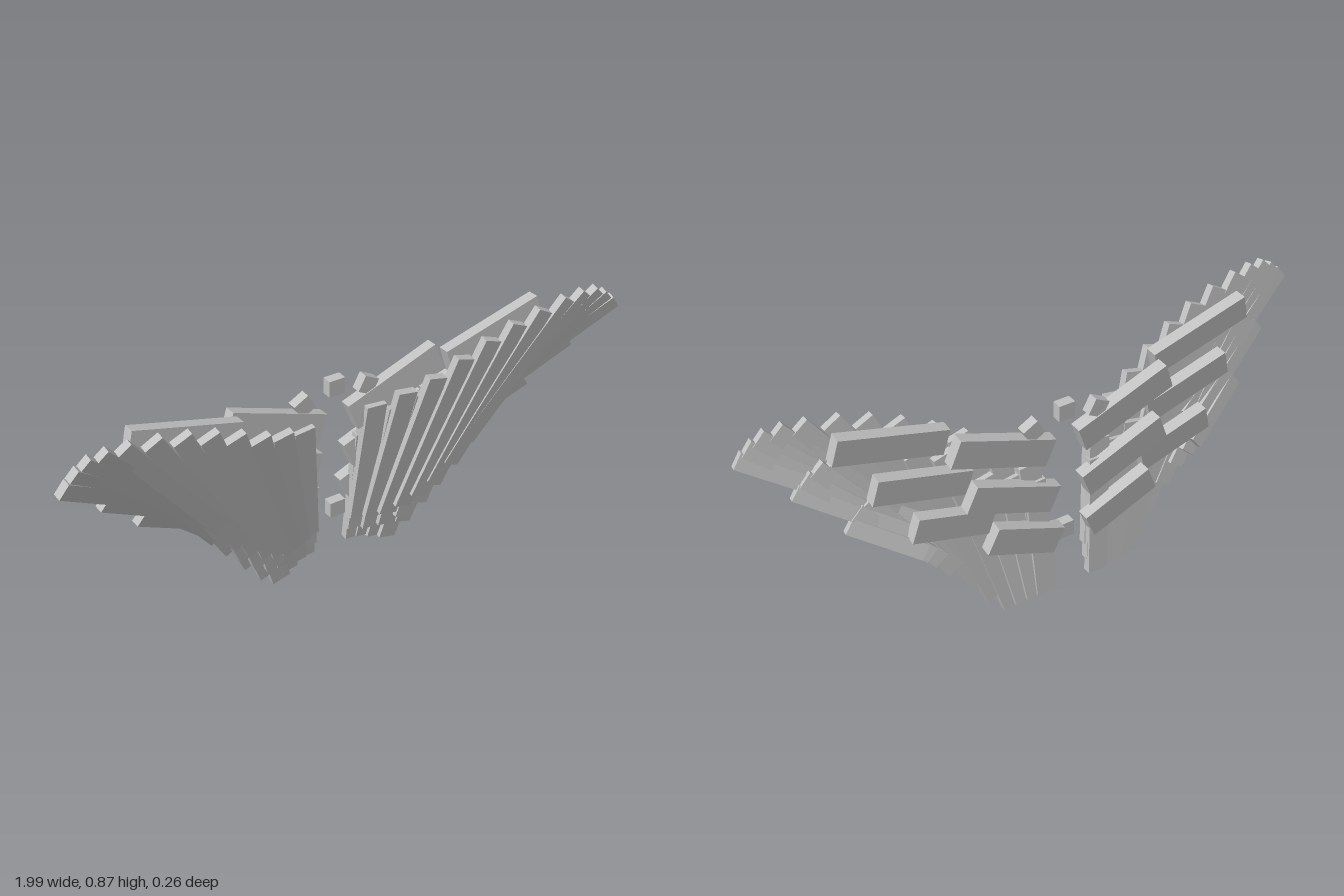
import * as THREE from 'three';

const V = (x, y, z) => new THREE.Vector3(x, y, z);
const curve = pts => new THREE.CatmullRomCurve3(pts.map(p => V(...p)));

// Feather rows, front to back: curves of upper tips and lower ends, inner to outer
const ROWS = [
  {
    name: 'frontFeather', count: 12,
    tips: [[0.135, 0.6, -0.035], [0.31, 0.665, 0.025], [0.48, 0.755, 0.06], [0.65, 0.82, 0.085],
      [0.82, 0.85, 0.1], [0.92, 0.845, 0.108], [0.98, 0.795, 0.112]],
    ends: [[0.1, 0.145, -0.08], [0.18, 0.145, -0.045], [0.27, 0.19, -0.01], [0.37, 0.27, 0.012],
      [0.47, 0.405, 0.028], [0.5, 0.44, 0.005], [0.5, 0.465, -0.03]],
  },
  {
    name: 'middleFeather', count: 11,
    tips: [[0.13, 0.54, -0.06], [0.27, 0.59, -0.01], [0.42, 0.65, 0.015], [0.57, 0.7, 0.035],
      [0.71, 0.725, 0.046], [0.79, 0.715, 0.05], [0.845, 0.662, 0.053]],
    ends: [[0.1, 0.09, -0.095], [0.18, 0.08, -0.07], [0.27, 0.12, -0.035], [0.36, 0.21, -0.02],
      [0.45, 0.32, -0.02], [0.5, 0.39, -0.035], [0.51, 0.425, -0.055]],
  },
  {
    name: 'backFeather', count: 10,
    tips: [[0.12, 0.48, -0.075], [0.24, 0.52, -0.04], [0.36, 0.55, -0.025], [0.49, 0.58, -0.01],
      [0.6, 0.59, 0], [0.67, 0.57, 0], [0.717, 0.52, -0.005]],
    ends: [[0.1, 0.04, -0.11], [0.155, 0.033, -0.1], [0.212, 0.012, -0.078], [0.295, 0.1, -0.06],
      [0.4, 0.235, -0.05], [0.47, 0.325, -0.06], [0.51, 0.375, -0.078]],
  },
];

// Cover blocks on the back: upper edge from inner to outer end, then height
const COVERS = [
  [[0.04, 0.615, -0.066], [0.37, 0.738, -0.064], 0.1],
  [[0.04, 0.45, -0.092], [0.335, 0.568, -0.09], 0.1],
  [[0.04, 0.298, -0.116], [0.28, 0.398, -0.116], 0.1],
  [[0.37, 0.742, 0], [0.725, 0.84, 0.002], 0.09],
  [[0.32, 0.595, -0.04], [0.63, 0.68, -0.037], 0.09],
  [[0.27, 0.447, -0.082], [0.53, 0.522, -0.08], 0.09],
];

export function createModel() {
  const model = new THREE.Group();
  model.name = 'wings';
  const grey = new THREE.MeshStandardMaterial({ color: 0xc2c2c2 });
  grey.name = 'lightGrey';

  // Box running along its y axis from a to b, its z axis close to the normal
  function bar(name, a, b, width, depth, normal) {
    const dir = b.clone().sub(a);
    const length = dir.length();
    dir.normalize();
    const side = dir.clone().cross(normal).normalize();
    const face = side.clone().cross(dir);
    const mesh = new THREE.Mesh(new THREE.BoxGeometry(width, length, depth), grey);
    mesh.name = name;
    mesh.quaternion.setFromRotationMatrix(new THREE.Matrix4().makeBasis(side, dir, face));
    mesh.position.copy(a).add(b).multiplyScalar(0.5);
    return mesh;
  }

  function cube(name, x, y, turn) {
    const mesh = new THREE.Mesh(new THREE.BoxGeometry(0.057, 0.057, 0.035), grey);
    mesh.name = name;
    mesh.position.set(x, y, -0.065);
    mesh.rotation.z = turn;
    return mesh;
  }

  for (const s of [1, -1]) {
    const wing = new THREE.Group();
    wing.name = s > 0 ? 'leftWing' : 'rightWing';
    const flip = p => V(p.x * s, p.y, p.z);

    // Fans of feathers, each stepped against its neighbour
    for (const row of ROWS) {
      const tips = curve(row.tips), ends = curve(row.ends);
      for (let i = 0; i < row.count; i++) {
        const u = i / (row.count - 1);
        const width = THREE.MathUtils.lerp(0.074, 0.053, u);
        wing.add(bar(row.name, flip(ends.getPoint(u)), flip(tips.getPoint(u)),
          width, 0.028, V(-0.02 * s, -0.13, 1)));
      }
    }

    // Cover blocks, hung below their upper edge
    for (const [a, b, height] of COVERS) {
      const start = V(...a), end = V(...b);
      const angle = Math.atan2(end.y - start.y, end.x - start.x);
      const drop = V(Math.sin(angle), -Math.cos(angle), 0.08).multiplyScalar(height / 2);
      wing.add(bar('coverBlock', flip(start.add(drop)), flip(end.add(drop)),
        height, 0.042, V(0, 0.08, 1)));
    }

    wing.add(cube('shoulderCube', 0.118 * s, 0.668, -0.5 * s));
    model.add(wing);
  }

  // Cubes on the centre line
  model.add(cube('upperCube', 0, 0.7, 0), cube('lowerCube', 0, 0.23, 0));
  return model;
}
